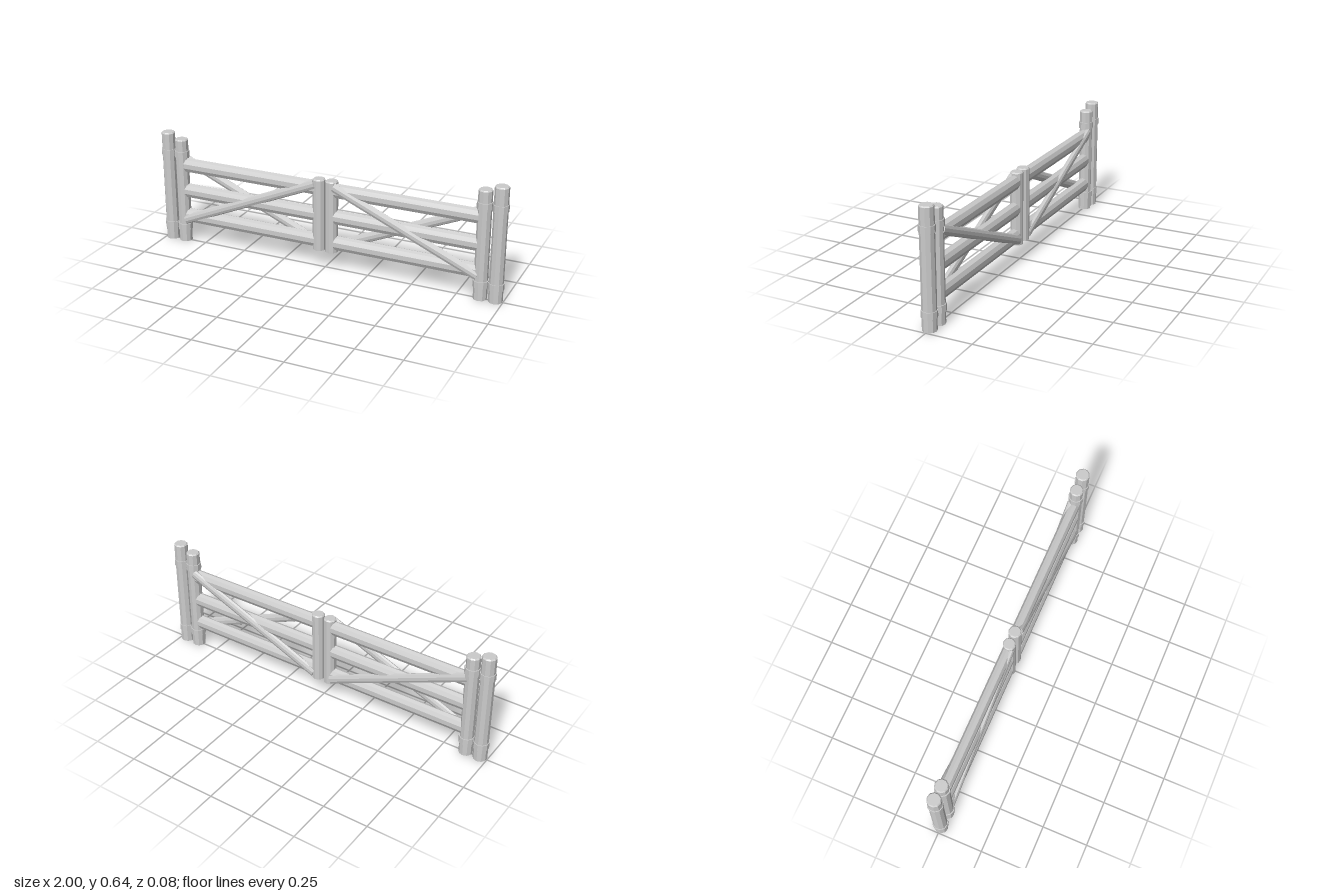
import * as THREE from 'three';

const material = new THREE.MeshStandardMaterial({ color: 0xcccccc, flatShading: true });
const SIDES = 10;

function add(parent, name, geometry) {
  const mesh = new THREE.Mesh(geometry, material);
  mesh.name = name;
  parent.add(mesh);
  return mesh;
}

// Upright log with slightly bevelled top
function post(parent, name, x, y0, y1, r) {
  const b = 0.006;
  const profile = [[0, y0], [r, y0], [r, y1 - b], [r - b, y1], [0, y1]]
    .map(([px, py]) => new THREE.Vector2(px, py));
  add(parent, name, new THREE.LatheGeometry(profile, SIDES)).position.x = x;
}

// Log flattened in z, running between two points in the gate plane
function log(parent, name, [x0, y0], [x1, y1], z, halfHeight, halfDepth) {
  const length = Math.hypot(x1 - x0, y1 - y0);
  const geometry = new THREE.CylinderGeometry(1, 1, length, SIDES);
  geometry.rotateY(Math.PI / 2);
  geometry.scale(halfHeight, 1, halfDepth);
  geometry.rotateZ(Math.atan2(y1 - y0, x1 - x0) - Math.PI / 2);
  add(parent, name, geometry).position.set((x0 + x1) / 2, (y0 + y1) / 2, z);
}

export function createModel() {
  const model = new THREE.Group();
  model.name = 'doubleGate';

  for (const s of [1, -1]) {
    const half = new THREE.Group();
    half.name = s > 0 ? 'leftGate' : 'rightGate';
    model.add(half);

    // Fixed post, hinge post and meeting post
    post(half, 'outerPost', s * 0.96, 0, 0.638, 0.038);
    post(half, 'hingePost', s * 0.877, 0, 0.608, 0.037);
    post(half, 'meetingPost', s * 0.037, 0.103, 0.512, 0.035);

    // Bands tying the two outer posts
    for (const x of [0.96, 0.877]) {
      for (const y of [0.088, 0.522]) {
        add(half, 'band', new THREE.CylinderGeometry(0.042, 0.042, 0.037, SIDES))
          .position.set(s * x, y, 0);
      }
    }

    // Horizontal rails
    for (const y of [0.155, 0.305, 0.457]) {
      log(half, 'rail', [s * 0.05, y], [s * 0.865, y], 0, 0.042, 0.031);
    }

    // Crossed diagonal braces, one on each face
    log(half, 'frontBrace', [s * 0.055, 0.482], [s * 0.86, 0.133], 0.02, 0.027, 0.016);
    log(half, 'backBrace', [s * 0.055, 0.133], [s * 0.86, 0.482], -0.021, 0.027, 0.017);
  }
  return model;
}
